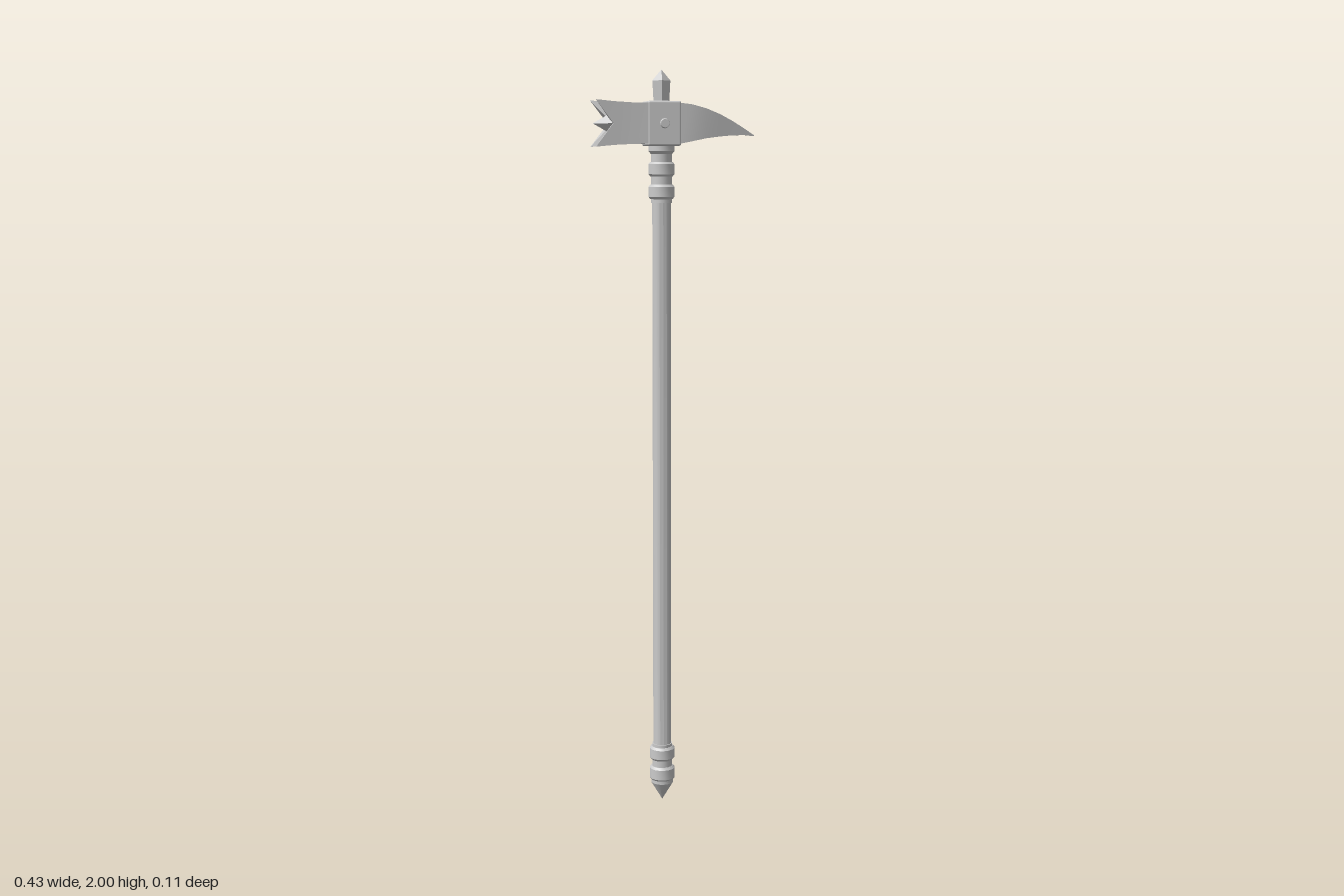
import * as THREE from 'three';
import { toCreasedNormals } from 'three/addons/utils/BufferGeometryUtils.js';
import { RoundedBoxGeometry } from 'three/addons/geometries/RoundedBoxGeometry.js';

const AXIS_X = -0.033; // shaft axis
const HEAD_Y = 1.861; // middle of the head

export function createModel() {
  const group = new THREE.Group();
  const material = new THREE.MeshStandardMaterial({ color: 0xcccccc });

  function add(name, geometry, x = 0, y = 0, z = 0) {
    const mesh = new THREE.Mesh(geometry, material);
    mesh.name = name;
    mesh.position.set(x, y, z);
    group.add(mesh);
    return mesh;
  }

  // Turned part on the shaft axis from [radius, y] pairs, bottom to top
  function turned(name, profile) {
    const points = profile.map(([r, y]) => new THREE.Vector2(r, y));
    return add(name, toCreasedNormals(new THREE.LatheGeometry(points, 16), 0.5), AXIS_X);
  }

  // Skin over rings of [x, y, z] ordered from -x to +x, closed at both ends
  function loft(rings, startPoint, endPoint) {
    const pos = [];
    const tri = (...corners) => corners.forEach((p) => pos.push(...p));
    const n = rings[0].length;
    for (let j = 0; j < n; j++) {
      const k = (j + 1) % n;
      tri(startPoint, rings[0][j], rings[0][k]);
      for (let i = 0; i < rings.length - 1; i++) {
        const [a, b] = [rings[i], rings[i + 1]];
        tri(a[j], b[k], a[k]);
        tri(a[j], b[j], b[k]);
      }
      const last = rings[rings.length - 1];
      tri(endPoint, last[k], last[j]);
    }
    const geometry = new THREE.BufferGeometry();
    geometry.setAttribute('position', new THREE.Float32BufferAttribute(pos, 3));
    geometry.computeVertexNormals();
    return toCreasedNormals(geometry, 0.45);
  }

  // Shaft
  turned('shaft', [[0, 0.1], [0.025, 0.1], [0.025, 1.79], [0, 1.79]]);

  // Sleeves and bevelled rings at both ends of the shaft
  function ring(name, y0, y1) {
    const b = 0.006;
    turned(name, [[0.024, y0], [0.03, y0], [0.035, y0 + b], [0.035, y1 - b], [0.03, y1], [0.024, y1]]);
  }
  turned('upperSleeve', [[0.024, 1.655], [0.028, 1.655], [0.028, 1.782], [0.035, 1.79], [0.035, 1.806], [0, 1.806]]);
  turned('lowerSleeve', [[0, 0.05], [0.028, 0.05], [0.028, 0.165], [0.024, 0.165]]);
  [[1.665, 1.703], [1.724, 1.762]].forEach(([a, b]) => ring('upperRing', a, b));
  [[0.06, 0.1], [0.119, 0.157]].forEach(([a, b]) => ring('lowerRing', a, b));
  turned('buttPoint', [[0, 0], [0.031, 0.052], [0.031, 0.062], [0, 0.062]]);

  // Central block of the head with a rivet through each cheek
  add('headBlock', new RoundedBoxGeometry(0.088, 0.115, 0.098, 2, 0.005), AXIS_X, HEAD_Y, 0);
  for (const side of [-1, 1]) {
    const rivet = new THREE.CylinderGeometry(0.011, 0.014, 0.01, 12);
    rivet.rotateX((side * Math.PI) / 2);
    add('rivet', toCreasedNormals(rivet, 0.6), AXIS_X, HEAD_Y, side * 0.051);
  }

  // Hammer: flared square bar whose face is notched into four corner prongs
  const flare = (x) => 0.047 + 0.008 * ((x + 0.07) / 0.143) ** 2;
  const cornerX = [-0.214, -0.165, -0.12, -0.07];
  const middleX = [-0.168, -0.145, -0.11, -0.07];
  const around = [[1, 1], [1, 0], [1, -1], [0, -1], [-1, -1], [-1, 0], [-1, 1], [0, 1]];
  const hammerRings = cornerX.map((cx, i) =>
    around.map(([sy, sz]) => {
      const x = sy && sz ? cx : middleX[i];
      return [x, sy * (flare(x) + 0.005), sz * flare(x)];
    }));
  add('hammer', loft(hammerRings, [-0.163, 0, 0], [-0.07, 0, 0]), 0, HEAD_Y, 0);

  // Four-sided spike in the middle of the hammer face
  const faceSpike = new THREE.ConeGeometry(0.031, 0.055, 4).toNonIndexed();
  faceSpike.rotateZ(Math.PI / 2);
  faceSpike.computeVertexNormals();
  add('faceSpike', faceSpike, -0.1875, HEAD_Y, 0);

  // Beak: box section sweeping down to a point; rows are x, top, bottom, half width
  const beakRows = [
    [0.005, 1.914, 1.808, 0.046], [0.04, 1.91, 1.815, 0.045], [0.08, 1.9, 1.823, 0.038],
    [0.12, 1.885, 1.828, 0.027], [0.155, 1.868, 1.831, 0.017], [0.19, 1.848, 1.832, 0.008],
    [0.216, 1.832, 1.829, 0.001],
  ];
  const beakRings = beakRows.map(([x, top, bottom, w]) =>
    [[x, top, w], [x, top, -w], [x, bottom, -w], [x, bottom, w]]);
  add('beak', loft(beakRings, [0.005, HEAD_Y, 0], [0.217, 1.83, 0]));

  // Top spike: flat diamond section, widest just under the tip
  const spikeProfile = [[0, 1.9], [0.02, 1.9], [0.024, 1.972], [0, 2]].map(([r, y]) => new THREE.Vector2(r, y));
  const topSpike = new THREE.LatheGeometry(spikeProfile, 4).scale(1, 1, 0.48);
  add('topSpike', toCreasedNormals(topSpike, 0.1), AXIS_X);

  return group;
}
